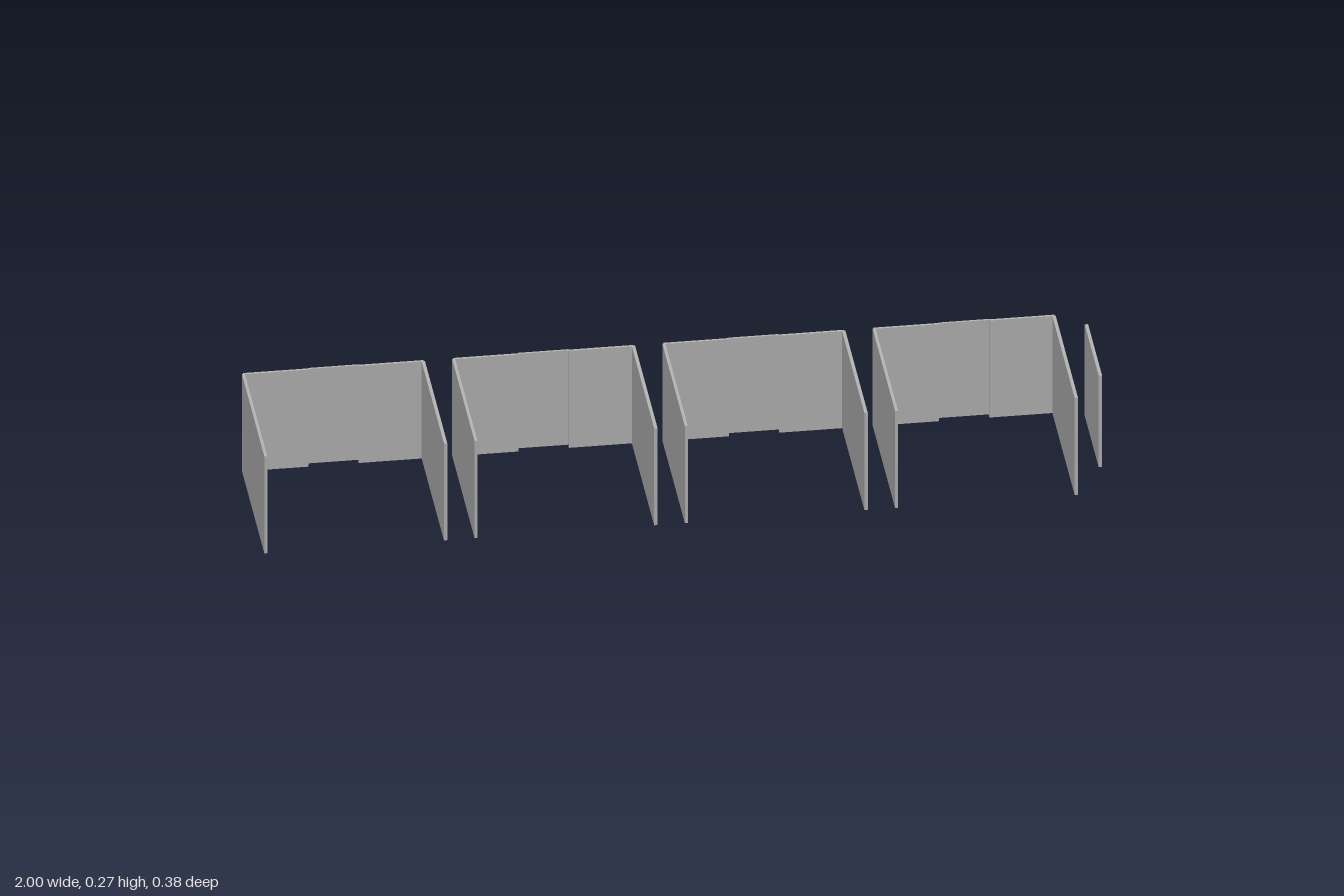
import * as THREE from 'three';

export function createModel() {
  const model = new THREE.Group();
  model.name = 'partitionRow';
  const grey = new THREE.MeshStandardMaterial({ color: 0xb2b2b2 });
  grey.name = 'panel grey';

  // Box panel given by its minimum and maximum corners
  function panel(parent, name, [x0, y0, z0], [x1, y1, z1]) {
    const mesh = new THREE.Mesh(new THREE.BoxGeometry(x1 - x0, y1 - y0, z1 - z0), grey);
    mesh.position.set((x0 + x1) / 2, (y0 + y1) / 2, (z0 + z1) / 2);
    mesh.name = name;
    parent.add(mesh);
  }

  const bottom = 0.005, top = 0.27, width = 0.433, front = 0.193, back = -0.186;

  // Four identical open-fronted bays
  for (let i = 0; i < 4; i++) {
    const bay = new THREE.Group();
    bay.name = `bay${i + 1}`;
    bay.position.x = -1 + i * 0.4975;
    panel(bay, 'rightSidePanel', [0, bottom, back], [0.007, top, front]);
    panel(bay, 'leftSidePanel', [width - 0.008, bottom, back], [width, top, front]);
    // Back wall: two outer panels and a middle one set slightly further back
    panel(bay, 'rightBackPanel', [0.003, bottom, -0.19], [0.157, top, -0.184]);
    panel(bay, 'middleBackPanel', [0.157, 0.012, -0.192], [0.276, top, -0.187]);
    panel(bay, 'leftBackPanel', [0.276, bottom, -0.19], [width - 0.003, top, -0.184]);
    model.add(bay);
  }

  // Separate smaller panel at the end of the row
  panel(model, 'endPanel', [0.992, 0, -0.169], [1, 0.25, 0.067]);

  return model;
}
